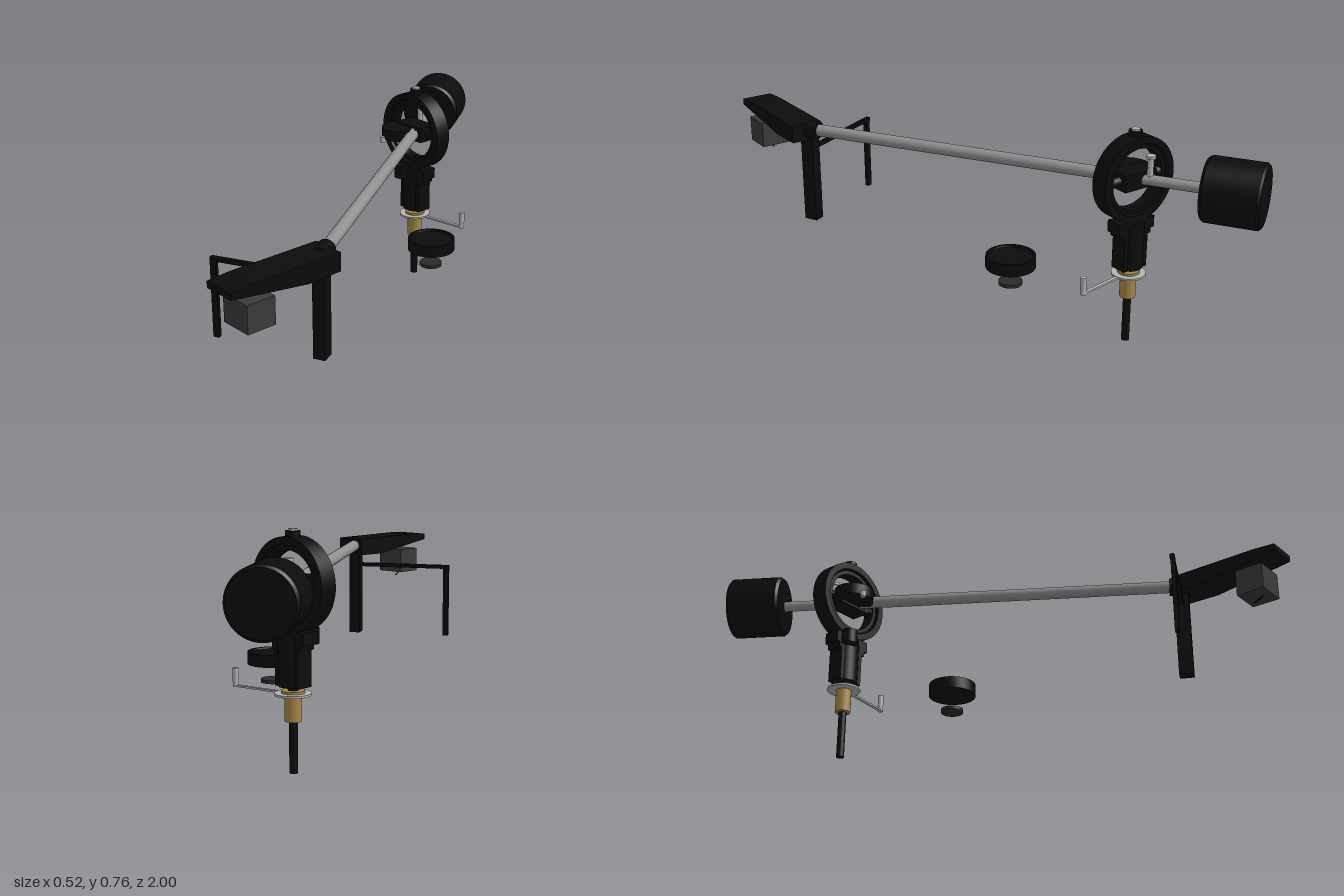
import * as THREE from 'three';
import { toCreasedNormals } from 'three/addons/utils/BufferGeometryUtils.js';

const mat = (name, color) => new THREE.MeshStandardMaterial({ name, color });

export function createModel() {
  const black = mat('black', 0x0b0b0b);
  const charcoal = mat('charcoal', 0x3b3b3b);
  const graphite = mat('graphite', 0x2a2a2a);
  const steel = mat('steel', 0x909090);
  const silver = mat('silver', 0xb4b4b4);
  const brass = mat('brass', 0xa88746);

  const model = new THREE.Group();
  model.name = 'tonearm';

  const add = (parent, name, geo, material, x = 0, y = 0, z = 0) => {
    const m = new THREE.Mesh(geo, material);
    m.name = name;
    m.position.set(x, y, z);
    parent.add(m);
    return m;
  };
  const group = (name, x, y, z, turn) => {
    const g = new THREE.Group();
    g.name = name;
    g.position.set(x, y, z);
    g.rotation.y = turn;
    model.add(g);
    return g;
  };
  const box = (w, h, d) => new THREE.BoxGeometry(w, h, d);
  // upright cylinder between two heights
  const post = (parent, name, r, y0, y1, material, x = 0, z = 0) =>
    add(parent, name, new THREE.CylinderGeometry(r, r, y1 - y0, 32), material, x, (y0 + y1) / 2, z);
  // turned part with sharp edges; profile is [radius, height] from bottom to top
  const lathe = (pts) => toCreasedNormals(
    new THREE.LatheGeometry(pts.map(([r, y]) => new THREE.Vector2(r, y)), 48), 0.5);
  const ring = (ri, ro, h) => lathe([[ri, -h], [ro, -h], [ro, h], [ri, h], [ri, -h]]).rotateX(Math.PI / 2);

  const OFFSET = -0.454; // angle of the headshell and bearing
  const ARM = 0.107;     // angle of the arm tube

  // Arm tube and counterweight, along local z
  const arm = group('arm', 0.038, 0.59, -0.1, ARM);
  add(arm, 'armTube', new THREE.CylinderGeometry(0.021, 0.021, 1.18, 32).rotateX(Math.PI / 2), steel, 0, 0, 0.12);
  add(arm, 'rearTube', new THREE.CylinderGeometry(0.018, 0.018, 0.28, 32).rotateX(Math.PI / 2), steel, 0, 0, -0.6);
  add(arm, 'armCollar', new THREE.CylinderGeometry(0.031, 0.031, 0.07, 32).rotateX(Math.PI / 2), black, 0, 0, 0.72);
  add(arm, 'counterweight', lathe([
    [0, -0.095], [0.1, -0.095], [0.108, -0.087], [0.108, 0.085], [0.1, 0.095], [0, 0.095],
  ]).rotateX(Math.PI / 2), black, -0.002, 0, -0.8);

  // Headshell: wedge-shaped side profile extruded across its width
  const shell = group('headshell', 0.125, 0, 0.635, OFFSET);
  const side = new THREE.Shape([[-0.02, 0.553], [0.1, 0.55], [0.38, 0.588], [0.38, 0.61], [0.3, 0.615], [-0.02, 0.615]]
    .map(([z, y]) => new THREE.Vector2(-z, y)));
  const shellGeo = new THREE.ExtrudeGeometry(side, { depth: 0.112, bevelEnabled: false });
  shellGeo.translate(0, 0, -0.056).rotateY(Math.PI / 2);
  add(shell, 'headshellPlate', shellGeo, black);
  add(shell, 'cartridge', box(0.112, 0.092, 0.1), charcoal, 0, 0.509, 0.277);
  const stylus = add(shell, 'stylus', new THREE.CylinderGeometry(0.003, 0.003, 0.055, 8), black, 0, 0.458, 0.285);
  stylus.rotation.x = 1.1;

  // Arm rest and bent finger rod
  add(model, 'armRest', box(0.04, 0.335, 0.05), black, 0.112, 0.4125, 0.622);
  add(model, 'rodAcross', box(0.36, 0.014, 0.015), black, -0.08, 0.514, 0.622);
  add(model, 'rodDown', box(0.021, 0.268, 0.015), black, -0.249, 0.379, 0.624);

  // Bearing rings and pivots
  const bearing = group('bearing', -0.014, 0.59, -0.567, OFFSET);
  add(bearing, 'outerRing', ring(0.123, 0.146, 0.031), black);
  add(bearing, 'innerRing', ring(0.104, 0.118, 0.022), black);
  add(bearing, 'bearingBlock', box(0.13, 0.056, 0.075), black);
  add(bearing, 'pivotAxle', new THREE.CylinderGeometry(0.018, 0.018, 0.25, 24).rotateZ(Math.PI / 2), black);
  for (const s of [-1, 1]) {
    add(bearing, 'ringPivot', new THREE.CylinderGeometry(0.008, 0.008, 0.03, 16), black, 0, s * 0.118, 0);
  }
  post(bearing, 'topNut', 0.023, 0.138, 0.162, black);
  post(bearing, 'topScrew', 0.014, 0.162, 0.168, silver);

  // Adjusting dial and small pins
  post(model, 'dial', 0.07, 0.57, 0.61, black, -0.062, -0.531);
  post(model, 'dialPin', 0.01, 0.558, 0.579, silver, -0.113, -0.478);
  post(model, 'rearPin', 0.01, 0.6, 0.665, silver, -0.017, -0.622);
  post(model, 'rearPinHead', 0.016, 0.665, 0.675, silver, -0.017, -0.622);

  // Pillar below the ring
  const pillar = group('pillar', -0.012, 0, -0.567, OFFSET);
  add(pillar, 'pillarCollar', box(0.148, 0.04, 0.06), black, 0, 0.43, 0);
  add(pillar, 'pillarShoulder', box(0.12, 0.02, 0.06), black, 0, 0.402, 0);
  add(pillar, 'pillarBody', box(0.098, 0.165, 0.06), black, 0, 0.357, 0);
  post(pillar, 'pillarCore', 0.045, 0.275, 0.44, black);
  post(pillar, 'sideKnob', 0.028, 0.405, 0.455, black, -0.03, 0.045);
  post(pillar, 'neck', 0.016, 0.26, 0.28, black);
  post(pillar, 'brassFlange', 0.037, 0.253, 0.262, brass);
  post(pillar, 'brassSleeve', 0.027, 0.165, 0.254, brass);
  post(pillar, 'mountingPost', 0.0135, 0, 0.166, black);
  post(pillar, 'leverDisc', 0.058, 0.247, 0.254, silver);

  // Locking lever
  const lever = add(model, 'lever', box(0.2, 0.006, 0.012), silver, 0.1, 0.25, -0.53);
  lever.rotation.y = -0.3;
  post(model, 'leverPin', 0.01, 0.247, 0.308, silver, 0.2, -0.5);

  // Separate weight puck and its small disc
  add(model, 'puck', lathe([
    [0, -0.021], [0.084, -0.021], [0.084, 0.021], [0.076, 0.021], [0.074, 0.015], [0, 0.015],
  ]), black, 0.173, 0.292, -0.222);
  post(model, 'puckDisc', 0.04, 0.207, 0.219, graphite, 0.173, -0.222);

  return model;
}
